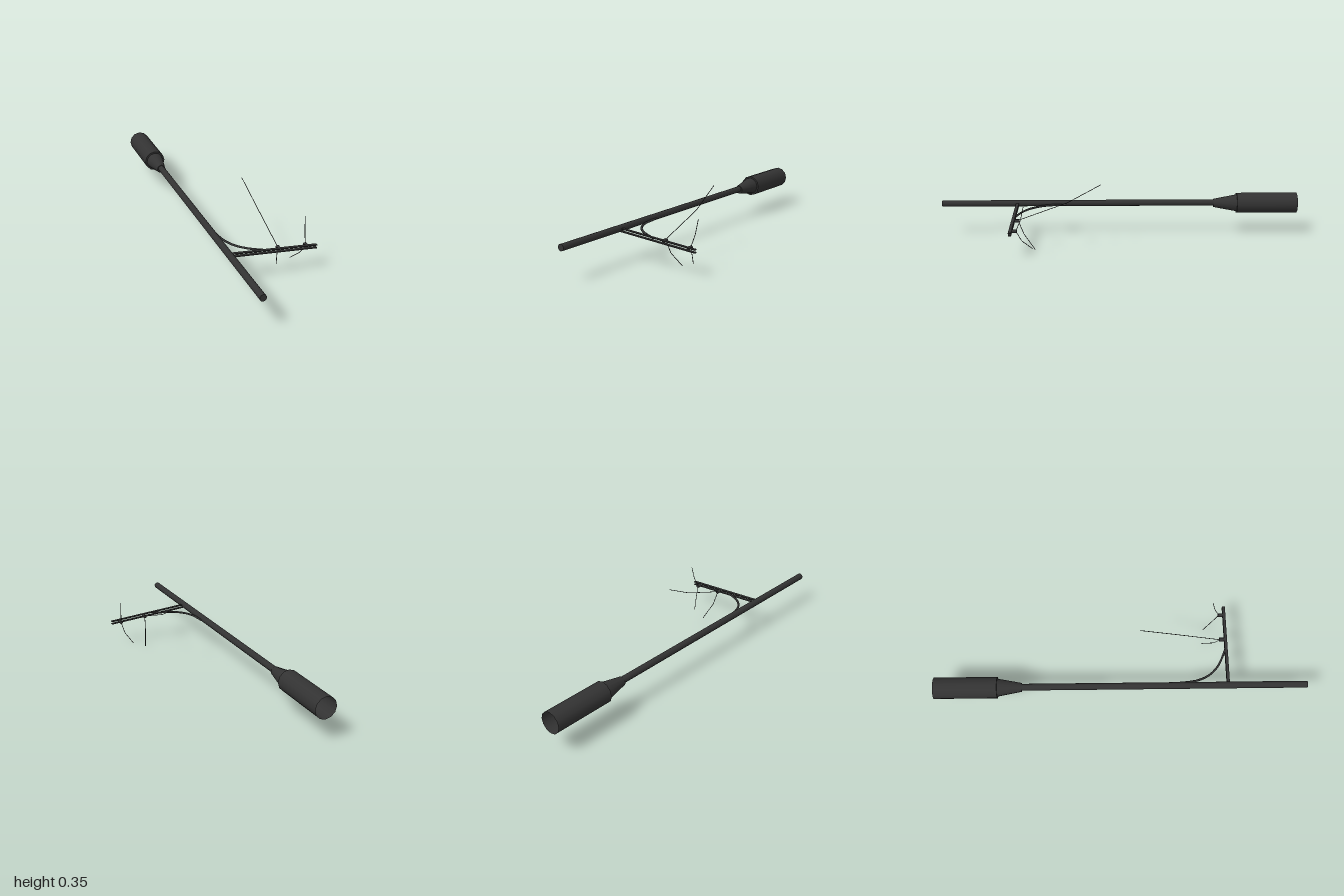
import * as THREE from 'three';

const darkMetal = new THREE.MeshStandardMaterial({ color: 0x333333, side: THREE.DoubleSide });
darkMetal.name = 'darkMetal';

const AXIS_X = -0.207;

export function createModel() {
  const model = new THREE.Group();
  model.name = 'mast';

  const add = (name, geometry, x = 0, y = 0, z = 0, parent = model) => {
    const mesh = new THREE.Mesh(geometry, darkMetal);
    mesh.name = name;
    mesh.position.set(x, y, z);
    parent.add(mesh);
    return mesh;
  };

  // Round section lying along z, from zBack to zFront
  const section = (name, rBack, rFront, zBack, zFront, y, sides, open) => {
    const g = new THREE.CylinderGeometry(rFront, rBack, zFront - zBack, sides, 1, open);
    g.rotateX(Math.PI / 2);
    return add(name, g, AXIS_X, y, (zBack + zFront) / 2);
  };

  // Main shaft, tapered collar and hollow sleeve at the back
  section('shaft', 0.018, 0.018, -0.66, 1, 0.178, 10, false);
  section('collar', 0.049, 0.024, -0.66, -0.53, 0.175, 12, false);
  section('sleeve', 0.0585, 0.0585, -1, -0.66, 0.175, 12, true);
  add('sleeveShoulder', new THREE.CircleGeometry(0.0585, 12, Math.PI / 2), AXIS_X, 0.175, -0.66);

  // Side arm: two parallel flat rails sloping down from the shaft
  const arm = new THREE.Group();
  arm.name = 'sideArm';
  arm.position.set(0.033, 0.153, 0.577);
  arm.rotation.z = -0.081;
  model.add(arm);
  for (const [name, y] of [['upperRail', 0.0075], ['lowerRail', -0.0075]]) {
    add(name, new THREE.BoxGeometry(0.46, 0.005, 0.016), 0, y, 0, arm);
  }

  // Curved brace between shaft and arm
  const bracePoints = [
    [-0.192, 0.172, 0.30], [-0.178, 0.171, 0.41], [-0.145, 0.168, 0.48],
    [-0.09, 0.164, 0.53], [0.003, 0.157, 0.572],
  ].map(p => new THREE.Vector3(...p));
  add('brace', new THREE.TubeGeometry(new THREE.CatmullRomCurve3(bracePoints), 14, 0.006, 6));

  // Small clamps behind the arm
  for (const [name, x, y] of [['innerClamp', 0.063, 0.152], ['outerClamp', 0.213, 0.139]]) {
    const g = new THREE.CylinderGeometry(0.011, 0.011, 0.026, 6);
    g.rotateX(Math.PI / 2).rotateZ(Math.PI / 2).scale(1, 0.8, 1);
    add(name, g, x, y, 0.556);
  }

  // Thin bent wires leaving each clamp
  const wires = {
    innerUpperWire: [[0.061, 0.155, 0.548], [0.06, 0.25, 0.285], [0.046, 0.345, 0.105]],
    innerLowerWire: [[0.063, 0.15, 0.548], [0.071, 0.08, 0.52], [0.097, 0.002, 0.46]],
    outerUpperWire: [[0.213, 0.14, 0.548], [0.222, 0.20, 0.522], [0.228, 0.273, 0.505]],
    outerLowerWire: [[0.213, 0.138, 0.548], [0.202, 0.082, 0.52], [0.169, 0.029, 0.467]],
  };
  for (const [name, points] of Object.entries(wires)) {
    const path = new THREE.CurvePath();
    const v = points.map(p => new THREE.Vector3(...p));
    for (let i = 1; i < v.length; i++) path.add(new THREE.LineCurve3(v[i - 1], v[i]));
    add(name, new THREE.TubeGeometry(path, 12, 0.0018, 5));
  }

  return model;
}
